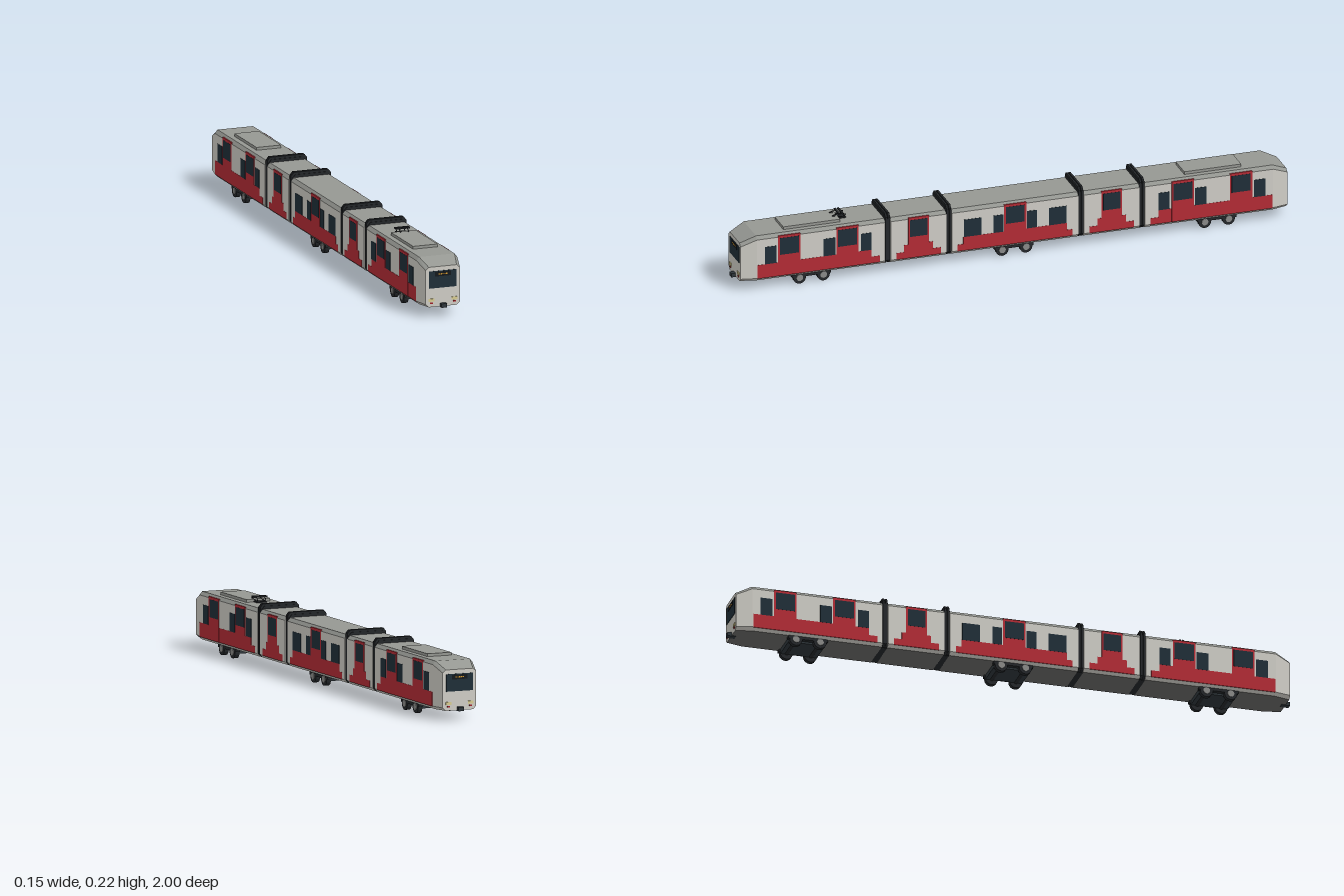
import * as THREE from 'three';

const mat = (color) => new THREE.MeshStandardMaterial({ color, flatShading: true });
const M = {
  body: mat(0xcfcdc6), roof: mat(0x959792), under: mat(0x6a6a68), red: mat(0xb32b35),
  glass: mat(0x1f2e38), display: mat(0x14191d), black: mat(0x24272a), dark: mat(0x2e363b),
  hub: mat(0x8a8a88), lamp: mat(0xd8cc90), tail: mat(0xa02025), amber: mat(0xe0a030),
};

function add(parent, name, geometry, material, x = 0, y = 0, z = 0) {
  const mesh = new THREE.Mesh(geometry, material);
  mesh.name = name;
  mesh.position.set(x, y, z);
  parent.add(mesh);
  return mesh;
}
// Box given by its extents
function box(parent, name, material, [x0, x1], [y0, y1], [z0, z1]) {
  return add(parent, name, new THREE.BoxGeometry(x1 - x0, y1 - y0, z1 - z0), material,
    (x0 + x1) / 2, (y0 + y1) / 2, (z0 + z1) / 2);
}

// Chamfered rectangular cross-section, counter-clockwise seen from +z
function ring({ z, w = 0.075, y0 = 0.034, y1 = 0.2, cx = 0.01, cy = 0.012 }) {
  const half = [[w - cx, y0], [w, y0 + 0.011], [w, y1 - cy], [w - cx, y1]];
  const other = half.map(([x, y]) => [-x, y]).reverse();
  return [...half, ...other].map(([x, y]) => [x, y, z]);
}

// Skin chosen edges between successive rings, optionally closing both ends
function loft(sections, edges, caps = false) {
  const rings = sections.map(ring), p = [];
  for (let s = 0; s + 1 < rings.length; s++) {
    const a = rings[s], b = rings[s + 1];
    for (const i of edges) {
      const j = (i + 1) % 8;
      p.push(...a[i], ...a[j], ...b[j], ...a[i], ...b[j], ...b[i]);
    }
  }
  if (caps) {
    const a = rings[0], b = rings[rings.length - 1];
    for (let i = 1; i < 7; i++) p.push(...a[0], ...a[i + 1], ...a[i], ...b[0], ...b[i], ...b[i + 1]);
  }
  const g = new THREE.BufferGeometry();
  g.setAttribute('position', new THREE.Float32BufferAttribute(p, 3));
  g.computeVertexNormals();
  return g;
}

function shell(parent, sections) {
  add(parent, 'bodyShell', loft(sections, [0, 1, 5, 6], true), M.body);
  add(parent, 'roof', loft(sections, [2, 3, 4]), M.roof);
  add(parent, 'underside', loft(sections, [7]), M.under);
}

// Thin panel on both flanks
function sidePanel(parent, name, material, z, y, thick) {
  for (const s of [-1, 1]) {
    const x = [s * 0.072, s * (0.075 + thick)].sort((a, b) => a - b);
    box(parent, name, material, x, y, z);
  }
}
const band = (g, z, top) => sidePanel(g, 'redBand', M.red, z, [0.044, top], 0.0008);
const sideWindow = (g, z) => sidePanel(g, 'sideWindow', M.glass, z, [0.094, 0.158], 0.0012);
function door(g, zc, half = 0.04) {
  sidePanel(g, 'door', M.red, [zc - half, zc + half], [0.044, 0.193], 0.0014);
  sidePanel(g, 'doorWindow', M.glass, [zc - half + 0.006, zc + half - 0.006], [0.122, 0.184], 0.002);
}

function bogie(parent, z) {
  const g = new THREE.Group();
  g.name = 'bogie';
  g.position.z = z;
  parent.add(g);
  box(g, 'bogieFrame', M.dark, [-0.05, 0.05], [0.018, 0.036], [-0.065, 0.065]);
  for (const s of [-1, 1]) {
    box(g, 'sideFrame', M.black, [s * 0.058 - 0.008, s * 0.058 + 0.008], [0.025, 0.036], [-0.07, 0.07]);
  }
  for (const dz of [-0.043, 0.043]) {
    const wheel = (name, r, len, m, x) =>
      add(g, name, new THREE.CylinderGeometry(r, r, len, 16), m, x, 0.0225, dz).rotation.z = Math.PI / 2;
    wheel('axle', 0.008, 0.11, M.black, 0);
    for (const s of [-1, 1]) {
      wheel('wheel', 0.0225, 0.016, M.black, s * 0.058);
      wheel('wheelHub', 0.012, 0.003, M.hub, s * 0.0665);
    }
  }
}

// Driving car, nose towards +z
function endCar() {
  const g = new THREE.Group();
  shell(g, [{ z: 0.468 }, { z: 0.93 }, { z: 0.985, w: 0.063, y1: 0.175, cx: 0.012, cy: 0.01 }]);
  band(g, [0.517, 0.928], 0.094);
  band(g, [0.487, 0.517], 0.068);
  for (const z of [[0.86, 0.902], [0.648, 0.69], [0.517, 0.556]]) sideWindow(g, z);
  door(g, 0.814);
  door(g, 0.604);
  bogie(g, 0.73);
  box(g, 'roofUnit', M.roof, [-0.045, 0.045], [0.198, 0.21], [0.62, 0.825]);
  // Cab face
  box(g, 'windscreen', M.glass, [-0.05, 0.05], [0.1, 0.16], [0.98, 0.9865]);
  box(g, 'displayPanel', M.display, [-0.029, 0.029], [0.141, 0.157], [0.98, 0.9875]);
  for (let i = -2; i <= 2; i++) {
    box(g, 'displayLight', M.amber, [i * 0.007 - 0.0025, i * 0.007 + 0.0025], [0.147, 0.151], [0.985, 0.988]);
  }
  for (const s of [-1, 1]) {
    const x = s * 0.042;
    box(g, 'headlight', M.lamp, [x - 0.0105, x + 0.0105], [0.054, 0.064], [0.98, 0.988]);
    box(g, 'tailLight', M.tail, [x - 0.005, x + 0.005], [0.046, 0.051], [0.98, 0.9875]);
  }
  box(g, 'coupler', M.dark, [-0.01, 0.01], [0.032, 0.046], [0.97, 1]);
  return g;
}

function strut(parent, a, b) {
  const curve = new THREE.LineCurve3(new THREE.Vector3(...a), new THREE.Vector3(...b));
  add(parent, 'pantographArm', new THREE.TubeGeometry(curve, 1, 0.0015, 6), M.black);
}

export function createModel() {
  const tram = new THREE.Group();
  tram.name = 'tram';

  // Two identical driving cars back to back
  const front = endCar(), rear = endCar();
  front.name = 'frontCar';
  rear.name = 'rearCar';
  rear.rotation.y = Math.PI;
  tram.add(front, rear);

  // Short linking cars
  for (const s of [-1, 1]) {
    const g = new THREE.Group();
    g.name = 'linkCar';
    g.position.z = s * 0.348;
    tram.add(g);
    shell(g, [{ z: -0.1 }, { z: 0.1 }]);
    band(g, [-0.08, 0.08], 0.068);
    band(g, [-0.052, 0.052], 0.094);
    door(g, 0, 0.037);
  }

  // Middle car
  const mid = new THREE.Group();
  mid.name = 'middleCar';
  tram.add(mid);
  shell(mid, [{ z: -0.228 }, { z: 0.228 }]);
  band(mid, [-0.207, 0.207], 0.068);
  band(mid, [-0.187, 0.187], 0.094);
  door(mid, 0);
  for (const s of [-1, 1]) {
    for (const [a, b] of [[0.122, 0.185], [0.043, 0.078]]) sideWindow(mid, s > 0 ? [a, b] : [-b, -a]);
  }
  bogie(mid, 0);

  // Bellows: a core with two raised ribs
  for (const z of [-0.458, -0.238, 0.238, 0.458]) {
    const all = [0, 1, 2, 3, 4, 5, 6, 7];
    const slice = (name, z0, z1, w, y1) =>
      add(tram, name, loft([{ z: z0, w, y1 }, { z: z1, w, y1 }], all, true), M.black);
    slice('bellowsCore', z - 0.011, z + 0.011, 0.069, 0.21);
    for (const d of [-0.005, 0.005]) slice('bellowsRib', z + d - 0.0035, z + d + 0.0035, 0.073, 0.218);
  }

  // Folded pantograph on the front car
  box(tram, 'pantographBase', M.black, [-0.018, 0.018], [0.199, 0.204], [0.59, 0.62]);
  for (const s of [-1, 1]) {
    const x = s * 0.015;
    strut(tram, [x, 0.204, 0.6], [x, 0.212, 0.64]);
    strut(tram, [x, 0.212, 0.64], [x, 0.219, 0.615]);
    strut(tram, [x, 0.204, 0.6], [x, 0.212, 0.59]);
    strut(tram, [x, 0.212, 0.59], [x, 0.219, 0.61]);
  }
  for (const z of [0.604, 0.616]) box(tram, 'pantographHead', M.black, [-0.026, 0.026], [0.217, 0.222], [z - 0.003, z + 0.003]);
  return tram;
}
